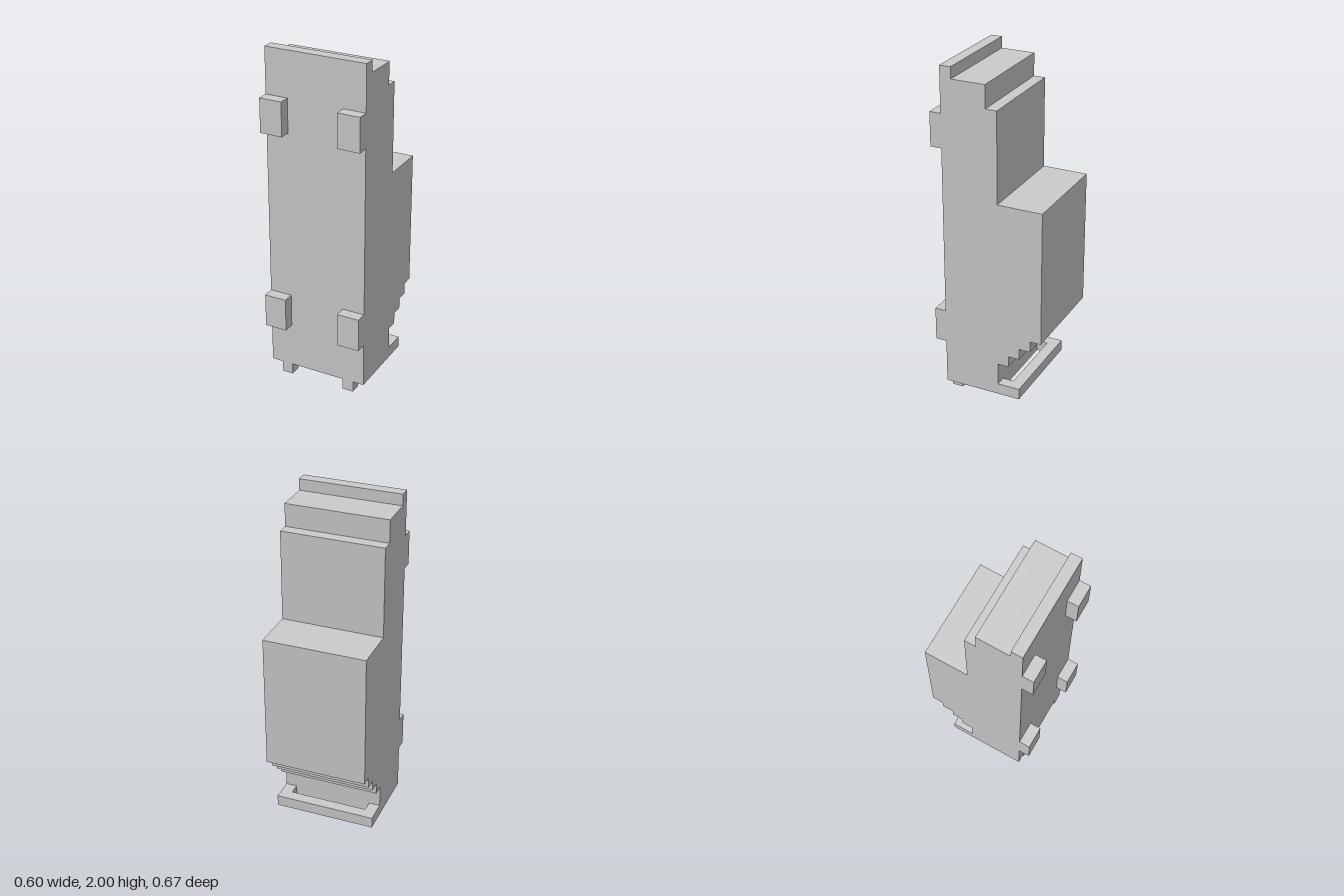
import * as THREE from 'three';

const U = 1 / 15; // the model sits on a regular grid of this step
const material = new THREE.MeshStandardMaterial({ color: 0xcccccc, flatShading: true });

const extrude = (points, depth) =>
  new THREE.ExtrudeGeometry(
    new THREE.Shape(points.map(([a, b]) => new THREE.Vector2(a * U, b * U))),
    { depth: depth * U, bevelEnabled: false }
  );

function add(parent, name, geometry) {
  const mesh = new THREE.Mesh(geometry, material);
  mesh.name = name;
  parent.add(mesh);
  return mesh;
}

// Box given by its size and centre in grid steps
function addBox(parent, name, [w, h, d], [x, y, z]) {
  add(parent, name, new THREE.BoxGeometry(w * U, h * U, d * U)).position.set(x * U, y * U, z * U);
}

export function createModel() {
  const model = new THREE.Group();
  model.name = 'steppedHousing';

  // Body: stepped side profile as [z, y], extruded across the width
  const profile = [
    [4, 1], [4, 30], [3, 30], [3, 29], [0, 29], [0, 27], [-1, 27], [-1, 19], [-5, 19],
    [-5, 7], [-4, 7], [-4, 6], [-3, 6], [-3, 5], [-2, 5], [-2, 4], [-1, 4], [-1, 1],
  ];
  const body = extrude(profile, 9);
  body.translate(0, 0, -4.5 * U);
  body.rotateY(-Math.PI / 2);
  add(model, 'body', body);

  // Rear lip: U-shaped frame as [x, z], leaving a slot against the body
  const lip = extrude([
    [-4.5, -1], [-4.5, -3], [4.5, -3], [4.5, -1],
    [3.5, -1], [3.5, -2], [-3.5, -2], [-3.5, -1],
  ], 1);
  lip.rotateX(Math.PI / 2);
  lip.translate(0, 2 * U, 0);
  add(model, 'rearLip', lip);

  // Front pads and bottom pegs, mirrored left and right
  for (const [side, s] of [['left', 1], ['right', -1]]) {
    addBox(model, `${side}UpperPad`, [2, 3, 1], [s * 3.5, 24.5, 4.5]);
    addBox(model, `${side}LowerPad`, [2, 3, 1], [s * 3.5, 6.5, 4.5]);
    addBox(model, `${side}Peg`, [1, 1, 1], [s * 3, 0.5, 3.5]);
  }
  return model;
}
